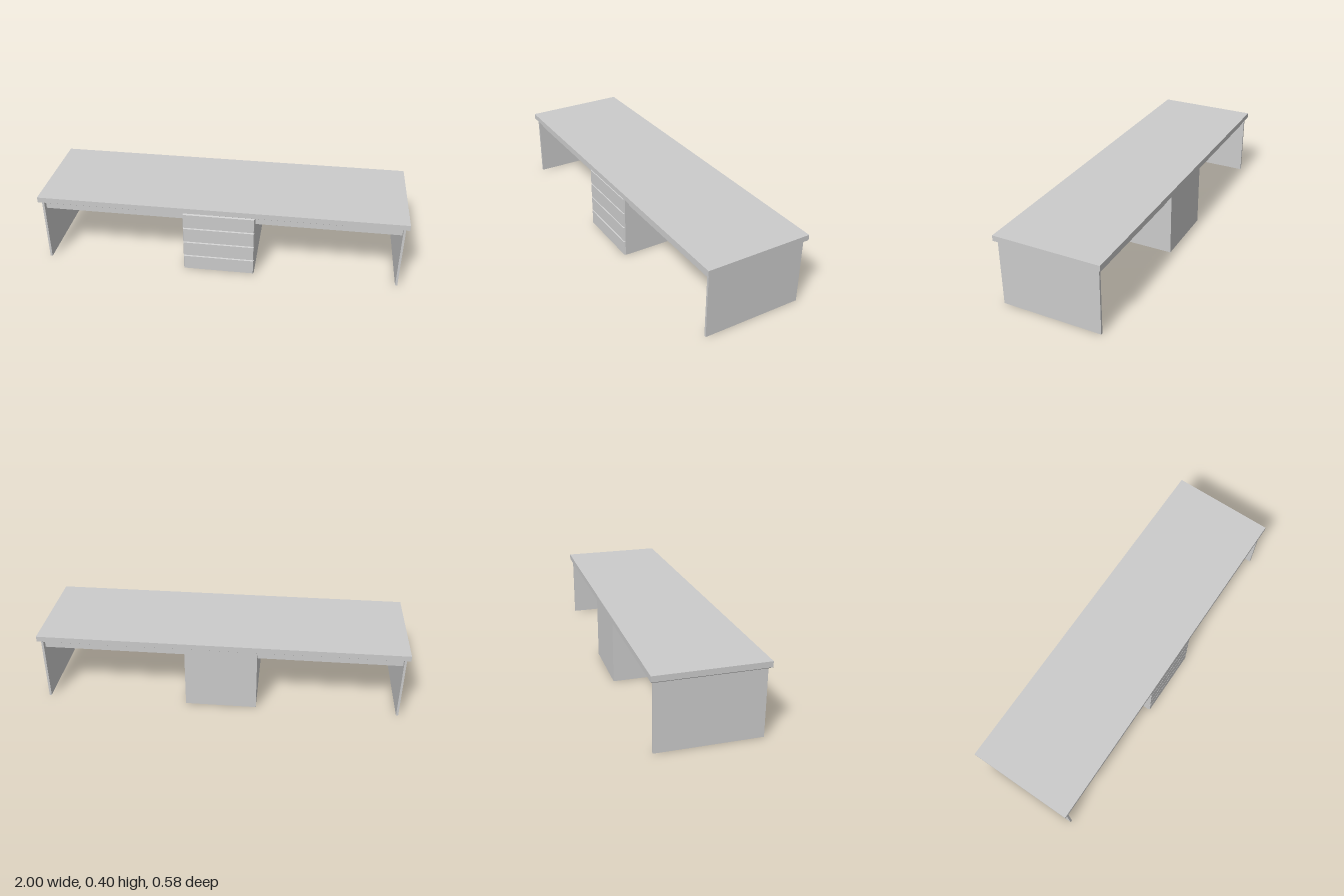
import * as THREE from 'three';

const FACES = ['px', 'nx', 'py', 'ny', 'pz', 'nz'];

// Box given by its min and max corners; the named faces can be left open.
function box(min, max, open = []) {
  const size = max.map((v, i) => v - min[i]);
  const geo = new THREE.BoxGeometry(...size);
  geo.translate(...min.map((v, i) => (v + max[i]) / 2));
  const index = Array.from(geo.index.array);
  geo.setIndex(index.filter((_, i) => !open.includes(FACES[Math.floor(i / 6)])));
  return geo;
}

// Pulls the end of a box at `end` on one axis inwards on the other two axes.
function bevel(geo, axis, end, inset) {
  geo.computeBoundingBox();
  const c = geo.boundingBox.getCenter(new THREE.Vector3());
  const p = geo.attributes.position;
  const v = new THREE.Vector3();
  for (let i = 0; i < p.count; i++) {
    v.fromBufferAttribute(p, i);
    if (Math.abs(v[axis] - end) > 1e-5) continue;
    for (const k of ['x', 'y', 'z']) {
      if (k !== axis) v[k] -= Math.sign(v[k] - c[k]) * inset;
    }
    p.setXYZ(i, v.x, v.y, v.z);
  }
  geo.computeVertexNormals();
  return geo;
}

export function createModel() {
  const desk = new THREE.Group();
  desk.name = 'desk';
  const solid = new THREE.MeshStandardMaterial({ color: 0xcccccc });
  const sheet = new THREE.MeshStandardMaterial({ color: 0xcccccc, side: THREE.DoubleSide });
  const add = (name, geo, mat = solid, parent = desk) => {
    const mesh = new THREE.Mesh(geo, mat);
    mesh.name = name;
    parent.add(mesh);
  };

  const height = 0.36;  // underside of the top
  const depth = 0.275;  // half depth of the panels and cabinet
  const cabL = 0.195, cabR = -0.198;

  // Top with a chamfered lower edge
  add('deskTop', box([-1, 0.37, -0.29], [1, 0.4, 0.29], ['ny']));
  add('topChamfer', bevel(box([-1, height, -0.29], [1, 0.37, 0.29], ['py']), 'y', height, 0.015));

  // End panels
  add('leftPanel', box([0.97, 0, -depth], [0.982, height, depth]));
  add('rightPanel', box([-0.982, 0, -depth], [-0.97, height, depth]));

  // Rails between the end panels and the cabinet, front and back
  for (const [place, z0, z1] of [['front', 0.22, 0.25], ['back', -0.25, -0.22]]) {
    add(place + 'LeftRail', box([cabL, 0.312, z0], [0.97, height, z1]));
    add(place + 'RightRail', box([-0.97, 0.312, z0], [cabR, height, z1]));
  }

  // Drawer cabinet: a thin shell, open underneath
  const cabinet = new THREE.Group();
  cabinet.name = 'drawerCabinet';
  desk.add(cabinet);
  add('cabinetShell', box([cabR, 0, -depth], [cabL, height, depth], ['py', 'ny', 'pz']), sheet, cabinet);

  // Bevelled drawer fronts
  const step = height / 4;
  for (let i = 0; i < 4; i++) {
    const front = box([cabR, i * step, depth], [cabL, (i + 1) * step, 0.284], ['nz']);
    add('drawerFront' + (i + 1), bevel(front, 'z', 0.284, 0.004), sheet, cabinet);
  }
  return desk;
}
